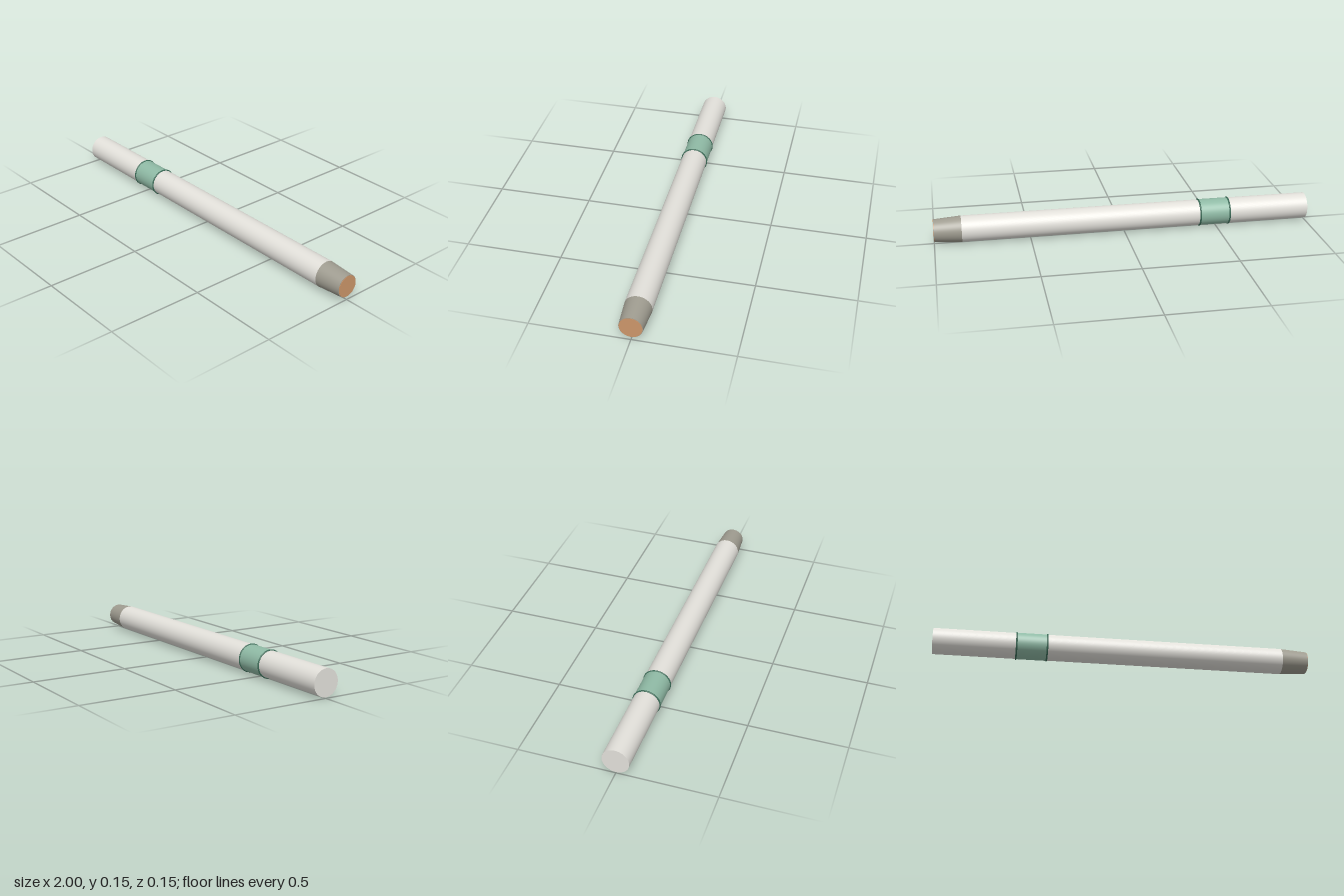
import * as THREE from 'three';

const paint = (name, color) => {
  const m = new THREE.MeshStandardMaterial({ color });
  m.name = name;
  return m;
};

export function createModel() {
  const group = new THREE.Group();
  group.name = 'filterStick';
  const axisY = 0.0735;
  const ivory = paint('ivory', 0xe2e0da);
  const warmGrey = paint('warmGrey', 0x9f9c90);
  const sage = paint('sage', 0x8fbaa5);
  const darkGreen = paint('darkGreen', 0x3a6b57);
  const tan = paint('tan', 0xcc966a);

  const add = (name, geometry, material, x) => {
    const mesh = new THREE.Mesh(geometry, material);
    mesh.name = name;
    mesh.position.set(x, axisY, 0);
    group.add(mesh);
  };
  // Round section lying along x, from x0 to x1
  const section = (name, material, x0, x1, r0, r1 = r0, open = false) =>
    add(name, new THREE.CylinderGeometry(r1, r0, x1 - x0, 64, 1, open).rotateZ(-Math.PI / 2), material, (x0 + x1) / 2);

  // Long barrel and tapered tip
  section('barrel', ivory, -1, 0.857, 0.0685);
  section('taperedTip', warmGrey, 0.857, 0.998, 0.0685, 0.0585);
  section('tipFace', tan, 0.996, 1, 0.0563);

  // Coloured band with a thin ring at each end
  section('band', sage, -0.567, -0.407, 0.0697);
  for (const [name, x] of [['bandRingRight', -0.567], ['bandRingLeft', -0.407]]) {
    add(name, new THREE.TorusGeometry(0.0692, 0.0043, 12, 64).rotateY(Math.PI / 2), darkGreen, x);
  }
  return group;
}
